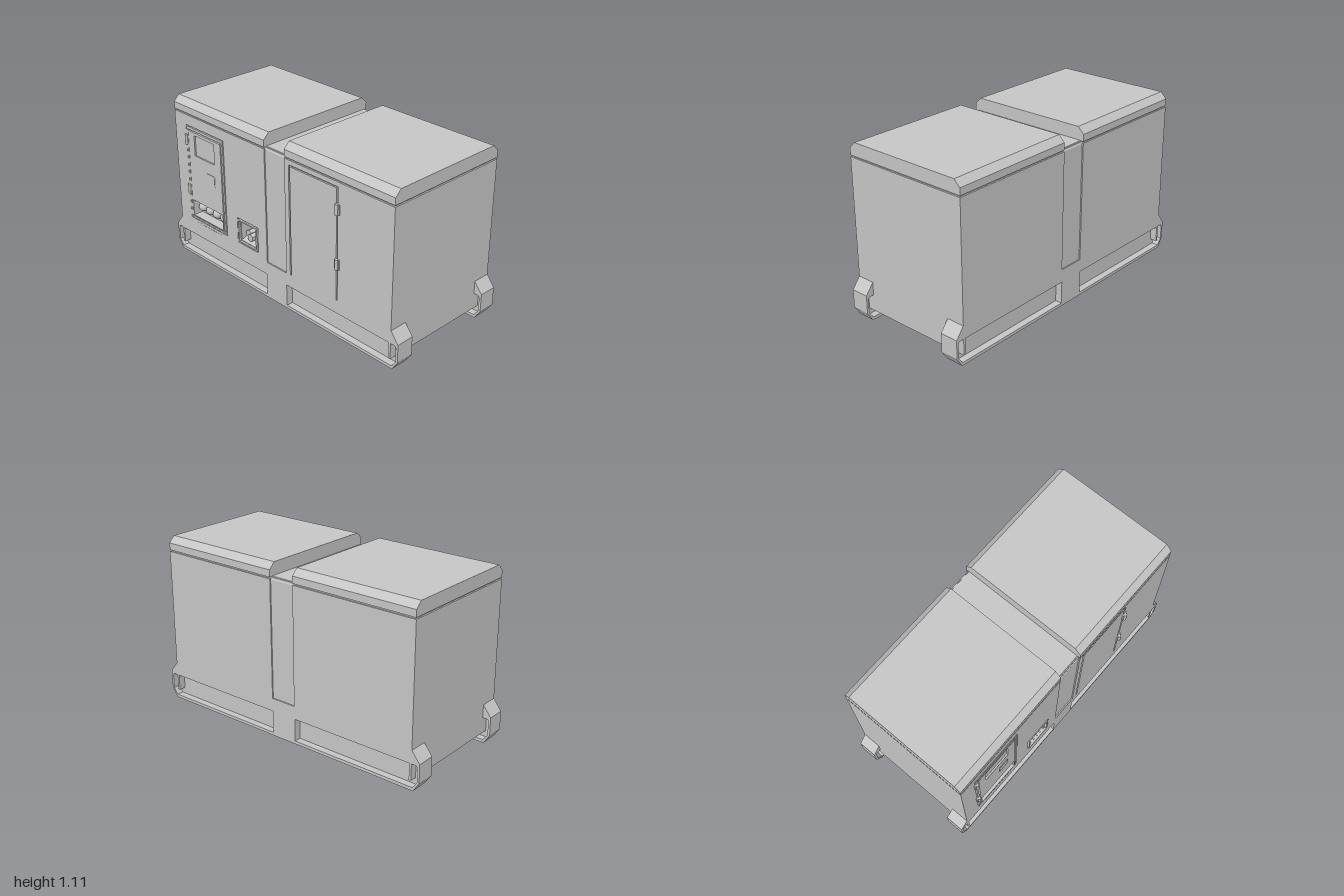
import * as THREE from 'three';

const F = 0.42, B = -0.44;      // front and back faces
const X = 0.945;                // half length of the housing

export function createModel() {
  const model = new THREE.Group();
  model.name = 'generatorSet';
  const grey = new THREE.MeshStandardMaterial({ color: 0xc6c6c6, side: THREE.DoubleSide });
  grey.name = 'housing grey';

  const add = (geo, name, parent = model) => {
    const m = new THREE.Mesh(geo, grey);
    m.name = name;
    parent.add(m);
    return m;
  };
  const rect = (x0, x1, y0, y1) => [[x0, y0], [x1, y0], [x1, y1], [x0, y1]];
  const toPts = (pts) => pts.map((p) => new THREE.Vector2(p[0], p[1]));
  const mirrorX = (pts) => pts.map(([x, y]) => [-x, y]);

  // flat plate in the x-y plane between two depths, with optional holes
  function plate(name, outline, z0, z1, holes = [], circles = []) {
    const s = new THREE.Shape(toPts(outline));
    for (const h of holes) s.holes.push(new THREE.Path(toPts(h)));
    for (const [x, y, r] of circles) {
      s.holes.push(new THREE.Path().absarc(x, y, r, 0, Math.PI * 2, true));
    }
    const g = new THREE.ExtrudeGeometry(s, { depth: z1 - z0, bevelEnabled: false, curveSegments: 16 });
    g.translate(0, 0, z0);
    return add(g, name);
  }
  function box(name, x0, x1, y0, y1, z0, z1) {
    const g = new THREE.BoxGeometry(x1 - x0, y1 - y0, z1 - z0);
    g.translate((x0 + x1) / 2, (y0 + y1) / 2, (z0 + z1) / 2);
    return add(g, name);
  }

  // base skids: recessed on both faces either side of the middle
  const skid = [[-0.96, 0], [0.96, 0], [1, 0.06], [1, 0.18], [X, 0.25], [-X, 0.25], [-1, 0.18], [-1, 0.06]];
  const pocket = [[0.09, 0.02], [0.955, 0.02], [0.985, 0.06], [0.985, 0.155], [0.975, 0.165], [0.09, 0.165]];
  const pockets = [pocket, mirrorX(pocket)];
  for (const [name, z0, z1] of [['frontSkid', 0.30, F], ['backSkid', B, -0.32]]) {
    plate(name + 'InnerFace', skid, z0, z0 + 0.045, pockets);
    plate(name + 'Web', skid, z0 + 0.045, z1 - 0.045);
    plate(name + 'OuterFace', skid, z1 - 0.045, z1, pockets);
  }

  // end walls and inner roof of the open-bottomed housing
  for (const s of [-1, 1]) {
    const a = s * X, b = s * (X - 0.015);
    box('endWall', Math.min(a, b), Math.max(a, b), 0.06, 1.015, B, F);
  }
  box('innerRoof', -0.935, 0.935, 1.0, 1.025, B + 0.012, F - 0.012);

  // backing walls; the front one is open behind the sockets and the outlet
  const socketHole = rect(-0.80, -0.50, 0.315, 0.425);
  const outletHole = rect(-0.335, -0.195, 0.305, 0.435);
  plate('frontWall', rect(-0.93, 0.93, 0.25, 1.0), 0.40, 0.41, [socketHole, outletHole]);
  plate('backWall', rect(-0.93, 0.93, 0.25, 1.0), -0.43, -0.42);

  // outer skins, with cut-outs for doors
  const leftDoorCut = rect(-0.835, -0.465, 0.285, 0.945);
  const outletCut = rect(-0.36, -0.165, 0.285, 0.46);
  const rightDoorCut = rect(0.125, 0.525, 0.252, 0.985);
  plate('frontSkinA', rect(-X, -0.085, 0.25, 1.015), 0.41, F, [leftDoorCut, outletCut]);
  plate('frontSkinB', rect(0.09, X, 0.25, 1.015), 0.41, F, [rightDoorCut]);
  plate('backSkinA', rect(-X, -0.085, 0.25, 1.015), B, -0.43);
  plate('backSkinB', rect(0.09, X, 0.25, 1.015), B, -0.43);

  // slim centre band running up both sides and over the top
  const band = [[0.412, 0.25], [0.412, 1.01], [0.40, 1.028], [-0.42, 1.028], [-0.432, 1.01], [-0.432, 0.25],
    [-0.425, 0.25], [-0.425, 1.0], [0.405, 1.0], [0.405, 0.25]];
  profileX('centreBand', band, -0.085, 0.09);

  // z-y profile swept along x
  function profileX(name, zy, x0, x1) {
    const s = new THREE.Shape(toPts(zy.map(([z, y]) => [-z, y])));
    const g = new THREE.ExtrudeGeometry(s, { depth: x1 - x0, bevelEnabled: false });
    g.rotateY(Math.PI / 2);
    g.translate(x0, 0, 0);
    return add(g, name);
  }

  // two chamfered roof caps above a shadow gap
  const cap = [[F, 1.025], [F, 1.07], [0.38, 1.11], [-0.40, 1.11], [B, 1.07], [B, 1.025]];
  profileX('roofCapA', cap, -X, -0.085);
  profileX('roofCapB', cap, 0.09, X);

  // control door with surround, display window and socket opening
  plate('controlSurround', rect(-0.829, -0.471, 0.291, 0.939), 0.41, 0.423, [rect(-0.815, -0.485, 0.303, 0.922)]);
  const windowCut = rect(-0.75, -0.555, 0.755, 0.895);
  plate('controlDoor', rect(-0.808, -0.492, 0.31, 0.915), 0.41, 0.426, [windowCut, socketHole]);
  box('displayWindow', -0.75, -0.555, 0.755, 0.895, 0.41, 0.416);
  box('controlPad', -0.635, -0.56, 0.595, 0.67, 0.426, 0.429);

  // access door
  plate('accessDoor', rect(0.135, 0.515, 0.252, 0.975), 0.41, F);

  // hinges of both doors
  for (const x of [-0.825, 0.525]) {
    for (const y of [0.848, 0.498]) {
      box('hingeLeaf', x - 0.018, x + 0.018, y - 0.032, y + 0.032, 0.41, 0.428);
      const g = new THREE.CylinderGeometry(0.009, 0.009, 0.066, 12);
      g.translate(x, y, 0.431);
      add(g, 'hingePin');
    }
  }

  // recessed socket box with four domes
  const socketXs = [-0.765, -0.69, -0.62, -0.545];
  plate('socketBox', rect(-0.806, -0.494, 0.309, 0.431), 0.35, 0.41, [socketHole]);
  plate('socketBack', rect(-0.80, -0.50, 0.315, 0.425), 0.352, 0.358, [], socketXs.map((x) => [x, 0.37, 0.034]));
  for (const x of socketXs) {
    const g = new THREE.SphereGeometry(0.035, 20, 10, 0, Math.PI * 2, 0, Math.PI / 2);
    g.rotateX(Math.PI / 2);
    g.scale(1, 1, 1.3);
    g.translate(x, 0.37, 0.358);
    add(g, 'socketDome');
  }

  // row of small drain slots below the control door
  for (let i = 0; i < 10; i++) {
    const x = -0.77 + i * 0.026;
    box('drainSlot', x, x + 0.012, 0.264, 0.269, F, F + 0.002);
  }

  // deep outlet box with frame, sloping floor and hex fittings
  plate('outletFrame', rect(-0.352, -0.173, 0.291, 0.452), 0.41, 0.424, [rect(-0.342, -0.185, 0.30, 0.443)]);
  plate('outletBox', rect(-0.342, -0.188, 0.298, 0.442), 0.26, 0.41, [outletHole]);
  box('outletBack', -0.342, -0.188, 0.298, 0.442, 0.255, 0.262);
  profileX('outletFloor', [[0.41, 0.305], [0.262, 0.305], [0.262, 0.37]], -0.335, -0.195);
  for (const [x, z] of [[-0.312, 0.34], [-0.265, 0.37], [-0.218, 0.34]]) {
    const g = new THREE.CylinderGeometry(0.027, 0.027, 0.06, 6).toNonIndexed();
    g.rotateX(Math.PI / 2);
    g.translate(x, 0.342, z);
    g.computeVertexNormals();
    add(g, 'outletFitting');
  }
  return model;
}
